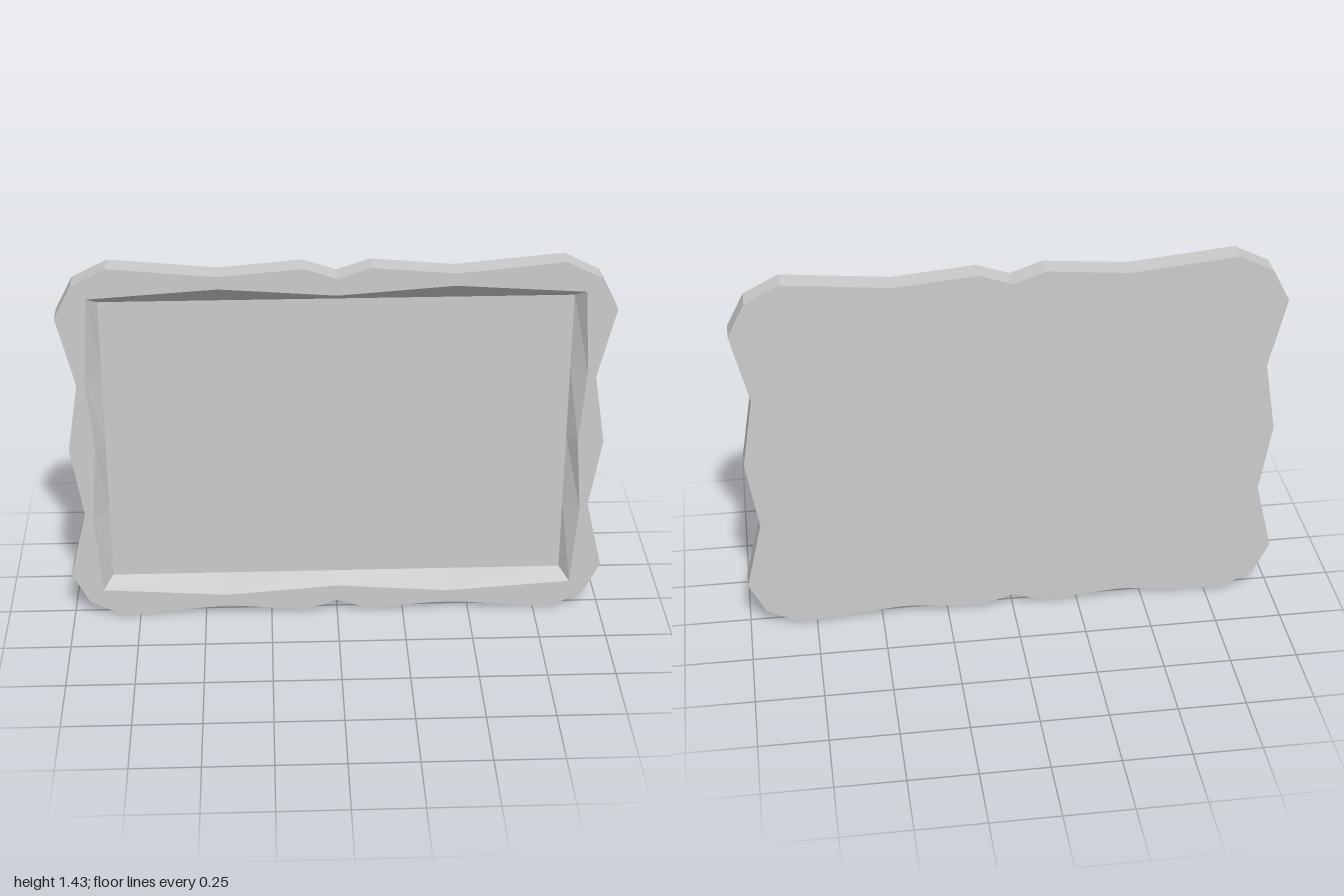
import * as THREE from 'three';

const HALF_DEPTH = 0.043, FLOOR_Z = -0.012, MID_Y = 0.717;

// Quarter profiles, from the +x axis round to the +y axis
const OUTER = [[0.98, 0], [0.937, 0.265], [1, 0.53], [0.937, 0.653], [0.81, 0.717],
  [0.42, 0.68], [0.12, 0.706], [0, 0.666]];
const OPENING = [[0.885, 0], [0.907, 0.283], [0.885, 0.602], [0.42, 0.633], [0, 0.602]];
const FLOOR = [[0.85, 0], [0.85, 0.283], [0.85, 0.567], [0.42, 0.567], [0, 0.567]];

// Mirror a quarter profile into a full counter-clockwise loop
function fullLoop(quarter) {
  const mirrored = quarter.slice(1, -1).reverse().map(([x, y]) => [-x, y]);
  const half = [...quarter, ...mirrored];
  return [...half, ...half.map(([x, y]) => [-x, -y])].map(([x, y]) => new THREE.Vector2(x, y));
}

// Band of flat quads joining two loops with the same number of points
function band(loopA, zA, loopB, zB) {
  const pos = [];
  loopA.forEach((a, i) => {
    const j = (i + 1) % loopA.length;
    const b = loopA[j], c = loopB[j], d = loopB[i];
    pos.push(a.x, a.y, zA, b.x, b.y, zA, c.x, c.y, zB);
    pos.push(a.x, a.y, zA, c.x, c.y, zB, d.x, d.y, zB);
  });
  const geo = new THREE.BufferGeometry();
  geo.setAttribute('position', new THREE.Float32BufferAttribute(pos, 3));
  geo.computeVertexNormals();
  return geo;
}

export function createModel() {
  const group = new THREE.Group();
  group.name = 'wavyFramedBoard';
  const material = new THREE.MeshStandardMaterial({ color: 0xcccccc, flatShading: true });
  const add = (name, geo) => {
    const mesh = new THREE.Mesh(geo, material);
    mesh.name = name;
    mesh.position.y = MID_Y;
    group.add(mesh);
  };

  const outer = fullLoop(OUTER), opening = fullLoop(OPENING), floor = fullLoop(FLOOR);

  // Front rim around the recess
  const rim = new THREE.Shape(outer);
  rim.holes.push(new THREE.Path(opening));
  add('frontRim', new THREE.ShapeGeometry(rim).translate(0, 0, HALF_DEPTH));

  // Outer edge and flat back (outline is symmetric, so turning it round is safe)
  add('outerEdge', band(outer, -HALF_DEPTH, outer, HALF_DEPTH));
  add('back', new THREE.ShapeGeometry(new THREE.Shape(outer))
    .rotateY(Math.PI).translate(0, 0, -HALF_DEPTH));

  // Sloping recess walls down to the rectangular panel
  add('recessWalls', band(opening, HALF_DEPTH, floor, FLOOR_Z));
  add('panel', new THREE.PlaneGeometry(1.7, 1.134).translate(0, 0, FLOOR_Z));

  return group;
}
